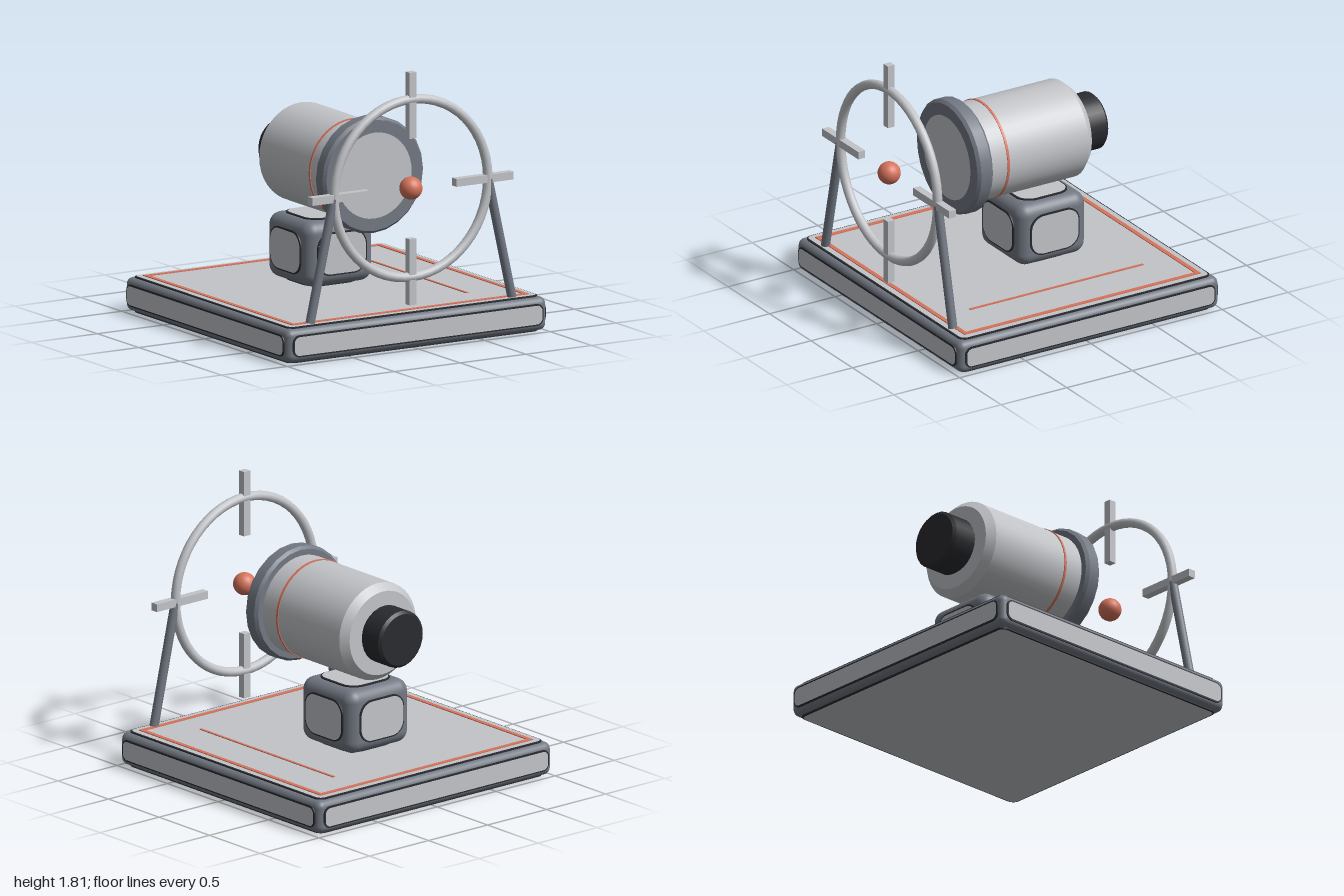
import * as THREE from 'three';
import { RoundedBoxGeometry } from 'three/addons/geometries/RoundedBoxGeometry.js';

const mat = (name, color) => {
  const m = new THREE.MeshStandardMaterial({ color });
  m.name = name;
  return m;
};

function roundedRect(w, h, r) {
  const s = new THREE.Shape();
  const x = w / 2 - r, y = h / 2 - r;
  s.absarc(x, y, r, 0, Math.PI / 2);
  s.absarc(-x, y, r, Math.PI / 2, Math.PI);
  s.absarc(-x, -y, r, Math.PI, Math.PI * 1.5);
  s.absarc(x, -y, r, Math.PI * 1.5, Math.PI * 2);
  s.closePath();
  return s;
}

export function createModel() {
  const root = new THREE.Group();
  root.name = 'sightingScope';
  const light = mat('light grey', 0xc2c4c8);
  const slate = mat('slate', 0x727883);
  const orange = mat('coral', 0xd6735b);
  const black = mat('black', 0x2a2b30);

  const add = (parent, name, geometry, material, x = 0, y = 0, z = 0) => {
    const m = new THREE.Mesh(geometry, material);
    m.name = name;
    m.position.set(x, y, z);
    parent.add(m);
    return m;
  };

  // Rounded slate box with a black-rimmed light panel on each of its six faces
  function panelledBox(name, w, h, d, edge, corner, y, z) {
    const g = new THREE.Group();
    g.name = name;
    g.position.set(0, y, z);
    root.add(g);
    add(g, name + 'Frame', new RoundedBoxGeometry(w, h, d, 5, edge), slate);
    const H = Math.PI / 2;
    const faces = [
      ['Front', w, h, d, 0, 0], ['Back', w, h, d, 0, Math.PI],
      ['Left', d, h, w, 0, H], ['Right', d, h, w, 0, -H],
      ['Top', w, d, h, -H, 0], ['Bottom', w, d, h, H, 0],
    ];
    for (const [side, pw, ph, depth, rx, ry] of faces) {
      const panel = new THREE.Group();
      panel.name = name + side + 'Panel';
      panel.rotation.set(rx, ry, 0);
      g.add(panel);
      const a = pw - 2 * edge, b = ph - 2 * edge;
      const options = { depth: 0.008, bevelEnabled: false, curveSegments: 8 };
      add(panel, 'rim', new THREE.ExtrudeGeometry(roundedRect(a + 0.02, b + 0.02, corner + 0.01), options),
        black, 0, 0, depth / 2 - 0.001);
      add(panel, 'face', new THREE.ShapeGeometry(roundedRect(a, b, corner), 8), light, 0, 0, depth / 2 + 0.01);
    }
  }
  panelledBox('base', 1.98, 0.22, 1.98, 0.048, 0.04, 0.12, 0);
  panelledBox('pedestal', 0.52, 0.43, 0.52, 0.083, 0.09, 0.466, -0.19);

  // Coral border and guide line inlaid on the base
  const border = new THREE.Shape().moveTo(-0.9, -0.9).lineTo(0.9, -0.9).lineTo(0.9, 0.9).lineTo(-0.9, 0.9);
  border.holes.push(new THREE.Path().moveTo(-0.87, -0.87).lineTo(-0.87, 0.87).lineTo(0.87, 0.87).lineTo(0.87, -0.87));
  add(root, 'baseBorder', new THREE.ExtrudeGeometry(border, { depth: 0.008, bevelEnabled: false }),
    orange, 0, 0.237, 0).rotation.x = -Math.PI / 2;
  add(root, 'guideLine', new THREE.BoxGeometry(0.018, 0.008, 1.32), orange, 0.583, 0.241, 0);

  // Scope: profiles are [radius, z], revolved about the z axis
  const scope = new THREE.Group();
  scope.name = 'scope';
  scope.position.y = 1.045;
  scope.rotation.x = Math.PI / 2;
  root.add(scope);
  // Each profile section is its own surface so its edges stay sharp
  function turned(name, profile, material, sides) {
    const g = new THREE.Group();
    g.name = name;
    scope.add(g);
    for (let i = 0; i < profile.length - 1; i++) {
      const pts = [profile[i], profile[i + 1]].map(([r, z]) => new THREE.Vector2(r, z));
      add(g, name + 'Section', new THREE.LatheGeometry(pts, sides), material);
    }
  }
  turned('barrel', [[0, -0.462], [0.28, -0.462], [0.325, -0.412], [0.325, 0.355]], light, 40);
  turned('frontRing', [[0.3, 0.345], [0.365, 0.345], [0.383, 0.365], [0.383, 0.443], [0.365, 0.463], [0.27, 0.463]], slate, 24);
  turned('lens', [[0.283, 0.465], [0, 0.465]], light, 40);
  turned('eyepiece', [[0, -0.655], [0.172, -0.655], [0.19, -0.637], [0.19, -0.48], [0.175, -0.46]], black, 28);
  turned('barrelBand', [[0.322, 0.193], [0.33, 0.193], [0.33, 0.209], [0.322, 0.209]], orange, 40);

  // Sight: ring, four cross bars, centre bead and two splayed legs
  const sight = new THREE.Group();
  sight.name = 'sight';
  sight.position.set(0, 1.043, 0.905);
  root.add(sight);
  add(sight, 'sightRing', new THREE.TorusGeometry(0.585, 0.031, 12, 56), light);
  add(sight, 'sightBead', new THREE.SphereGeometry(0.075, 20, 14), orange);
  for (let i = 0; i < 4; i++) {
    const a = i * Math.PI / 2;
    add(sight, 'crossBar', new THREE.BoxGeometry(0.435, 0.052, 0.052), light,
      Math.cos(a) * 0.548, Math.sin(a) * 0.548, 0).rotation.z = a;
  }
  for (const side of [-1, 1]) {
    const dx = 0.18, dy = 0.8;
    add(sight, side > 0 ? 'leftLeg' : 'rightLeg', new THREE.CylinderGeometry(0.03, 0.03, Math.hypot(dx, dy), 14),
      slate, side * 0.677, -0.402, 0).rotation.z = side * Math.atan2(dx, dy);
  }
  return root;
}
